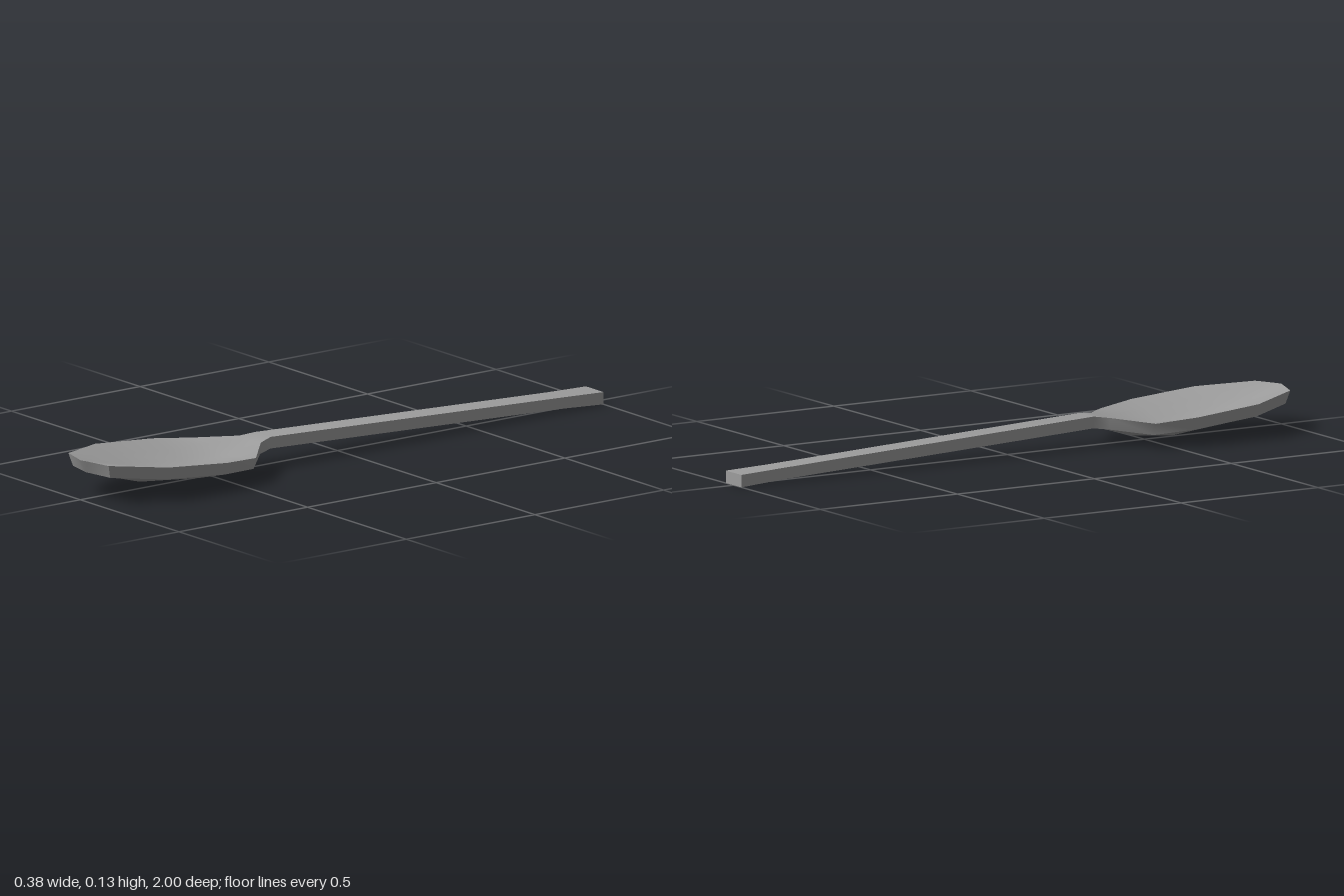
import * as THREE from 'three';
import { toCreasedNormals } from 'three/addons/utils/BufferGeometryUtils.js';

// Sections from handle end to bowl tip:
// z, half width, rim top, centre top, rim bottom, centre bottom, bottom inset, tip bulge in z
const SECTIONS = [
  [-1.0, 0.045, 0.039, 0.039, 0.0, 0.0, 0, 0],
  [-0.85, 0.04, 0.045, 0.045, 0.009, 0.009, 0, 0],
  [0.29, 0.039, 0.097, 0.097, 0.06, 0.06, 0, 0],
  [0.34, 0.055, 0.09, 0.086, 0.053, 0.05, 0.004, 0],
  [0.44, 0.16, 0.078, 0.058, 0.041, 0.02, 0.012, 0],
  [0.575, 0.192, 0.09, 0.044, 0.05, 0.006, 0.014, 0],
  [0.80, 0.186, 0.109, 0.071, 0.068, 0.03, 0.015, 0],
  [0.968, 0.102, 0.123, 0.126, 0.082, 0.084, 0.008, 0.032],
];
// Positions across the width, and how far each has risen from centre to rim
const ACROSS = [-1, -0.6, -0.25, 0, 0.25, 0.6, 1];
const RISE = [1, 0.53, 0.13, 0, 0.13, 0.53, 1];

// One closed ring: top left to right, then underside right to left
function ring([z, w, rimTop, midTop, rimBot, midBot, inset, bulge]) {
  const top = ACROSS.map((f, i) => [
    f * w, THREE.MathUtils.lerp(midTop, rimTop, RISE[i]), z + bulge * (1 - Math.abs(f))]);
  const bottom = ACROSS.map((f, i) => [
    f * (w - inset), THREE.MathUtils.lerp(midBot, rimBot, RISE[i]),
    z + (bulge ? -0.012 + (bulge - 0.01) * (1 - Math.abs(f)) : 0)]);
  return top.concat(bottom.reverse());
}

export function createModel() {
  const rings = SECTIONS.map(ring);
  const n = rings[0].length;
  const last = rings.length - 1;
  const positions = [];
  const quad = (a, b, c, d) => positions.push(...a, ...c, ...b, ...b, ...c, ...d);

  // Skin between neighbouring sections
  for (let i = 0; i < last; i++) {
    for (let j = 0; j < n; j++) {
      const k = (j + 1) % n;
      quad(rings[i][j], rings[i][k], rings[i + 1][j], rings[i + 1][k]);
    }
  }
  // Handle end and bowl tip walls
  for (let j = 0; j < ACROSS.length - 1; j++) {
    const lo = n - 1 - j;
    const back = rings[0], front = rings[last];
    quad(back[j], back[lo], back[j + 1], back[lo - 1]);
    quad(front[j], front[j + 1], front[lo], front[lo - 1]);
  }

  const geometry = new THREE.BufferGeometry();
  geometry.setAttribute('position', new THREE.Float32BufferAttribute(positions, 3));
  // Dull darker grey metal
  const spoon = new THREE.Mesh(
    toCreasedNormals(geometry, 0.65),
    new THREE.MeshStandardMaterial({ color: 0x9d9d9d }));
  spoon.name = 'spoon';

  const group = new THREE.Group();
  group.name = 'spoonModel';
  group.add(spoon);
  return group;
}
